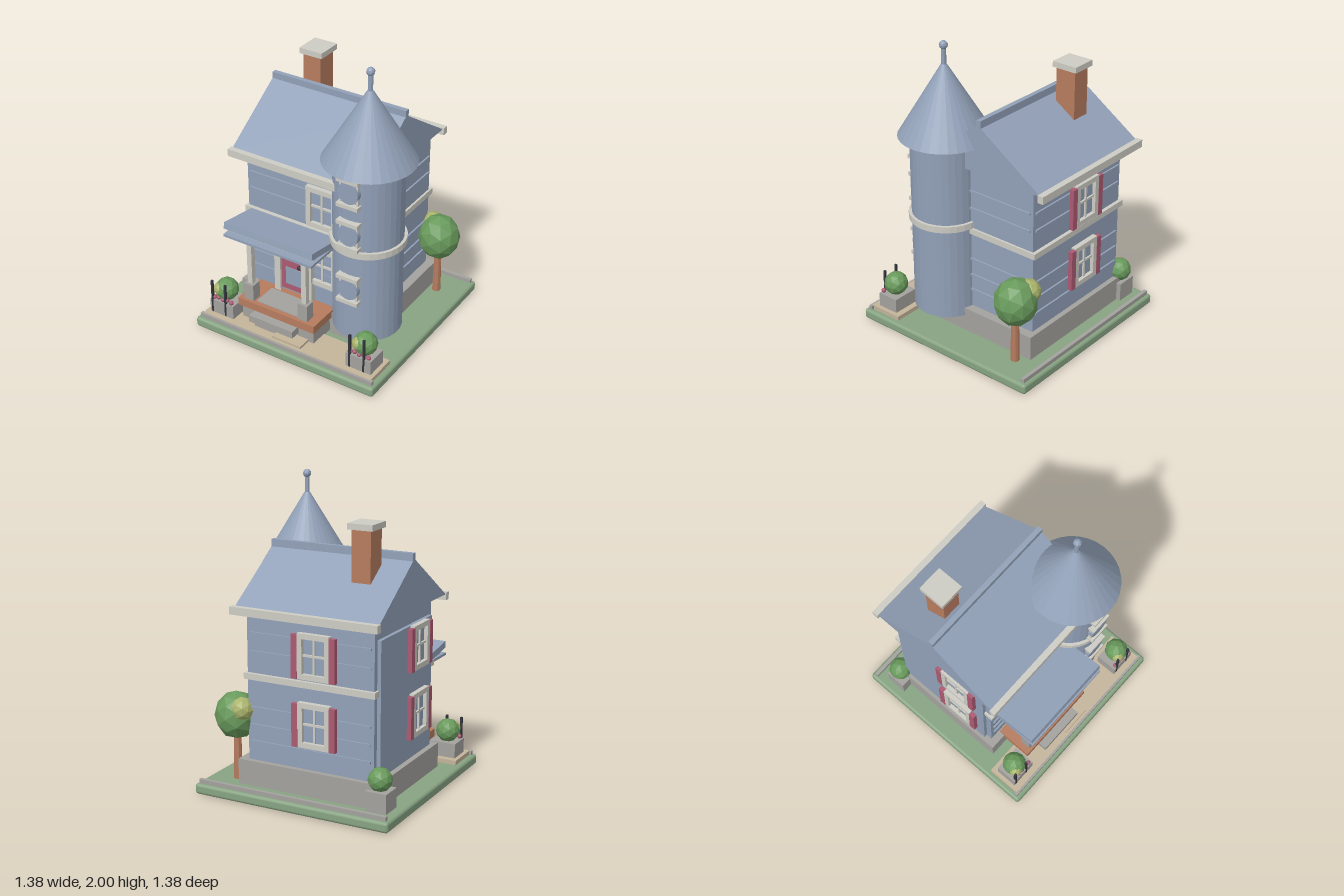
import * as THREE from 'three';
import { RoundedBoxGeometry } from 'three/addons/geometries/RoundedBoxGeometry.js';

const mat = (name, color) => {
  const m = new THREE.MeshStandardMaterial({ color });
  m.name = name;
  return m;
};

// Unshared corners give crisp facets
function faceted(geo) {
  const g = geo.index ? geo.toNonIndexed() : geo;
  g.computeVertexNormals();
  return g;
}

export function createModel() {
  const blue = mat('slate blue', 0x92a1b8), trim = mat('off-white trim', 0xcdccc4);
  const stone = mat('grey stone', 0xa3a29e), grass = mat('lawn green', 0x87a382);
  const leaf = mat('leaf green', 0x699a5c), lime = mat('light leaf', 0xa9b36c);
  const brick = mat('brick brown', 0xb67c5f), sand = mat('sand path', 0xc4b49b);
  const red = mat('rose red', 0xac5a72), iron = mat('dark iron', 0x33363d);

  const root = new THREE.Group();
  root.name = 'turretHouse';
  const add = (name, geo, m, x = 0, y = 0, z = 0, parent = root) => {
    const mesh = new THREE.Mesh(geo, m);
    mesh.name = name;
    mesh.position.set(x, y, z);
    parent.add(mesh);
    return mesh;
  };
  // Box given by its minimum and maximum on each axis
  const box = (name, m, x0, x1, y0, y1, z0, z1, parent = root) =>
    add(name, new THREE.BoxGeometry(x1 - x0, y1 - y0, z1 - z0), m,
      (x0 + x1) / 2, (y0 + y1) / 2, (z0 + z1) / 2, parent);
  const cyl = (name, m, rTop, rBottom, y0, y1, x, z, sides = 32) =>
    add(name, faceted(new THREE.CylinderGeometry(rTop, rBottom, y1 - y0, sides)), m, x, (y0 + y1) / 2, z);
  const blob = (name, m, r, x, y, z, sy = 1) => {
    const g = new THREE.IcosahedronGeometry(r, 1);
    g.scale(1, sy, 1);
    return add(name, faceted(g), m, x, y, z);
  };

  // Ground
  add('lawn', new RoundedBoxGeometry(1.375, 0.07, 1.375, 2, 0.02), grass, 0, 0.035, 0);
  box('path', sand, -0.65, 0.65, 0.065, 0.1, 0.41, 0.645);
  box('pathStone', sand, -0.11, 0.11, 0.1, 0.116, 0.52, 0.625);
  box('frontKerb', stone, -0.665, 0.665, 0.065, 0.098, 0.635, 0.66);
  box('backKerb', stone, -0.665, 0.665, 0.065, 0.098, -0.665, -0.64);

  // House body
  box('foundation', stone, -0.55, 0.445, 0.065, 0.235, -0.54, 0.34);
  box('walls', blue, -0.505, 0.385, 0.23, 1.24, -0.505, 0.29);
  box('sidePanel', blue, -0.53, -0.5, 0.25, 1.12, -0.47, 0.25);
  box('beltTrim', trim, -0.52, 0.4, 0.77, 0.81, -0.53, 0.315);
  for (const y of [0.36, 0.47, 0.585, 0.95, 1.07]) {
    box('frontBoard', blue, -0.485, 0.2, y - 0.007, y + 0.007, 0.28, 0.302);
    box('backBoard', blue, -0.485, 0.365, y - 0.007, y + 0.007, -0.517, -0.5);
    box('rightBoard', blue, 0.38, 0.397, y - 0.007, y + 0.007, -0.485, 0);
  }

  // Gable roof, extruded along x
  const gable = new THREE.Shape([[-0.37, 1.235], [0.59, 1.235], [0.11, 1.555]]
    .map(([x, y]) => new THREE.Vector2(x, y)));
  const roof = add('roof', new THREE.ExtrudeGeometry(gable, { depth: 0.995, bevelEnabled: false }), blue, -0.57);
  roof.rotation.y = Math.PI / 2;
  box('ridgeCap', blue, -0.57, 0.427, 1.54, 1.59, -0.13, -0.097);
  box('frontFascia', trim, -0.58, 0.3, 1.2, 1.25, 0.355, 0.395);
  box('backFascia', trim, -0.58, 0.44, 1.2, 1.25, -0.62, -0.578);
  box('chimney', brick, -0.38, -0.25, 1.3, 1.745, -0.32, -0.175);
  box('chimneyCap', trim, -0.4, -0.23, 1.742, 1.78, -0.34, -0.16);

  // Turret
  const tx = 0.36, tz = 0.215;
  cyl('turret', blue, 0.226, 0.226, 0.18, 1.4, tx, tz);
  cyl('turretBand', trim, 0.246, 0.246, 0.812, 0.855, tx, tz);
  cyl('turretRoof', blue, 0.018, 0.3, 1.385, 1.85, tx, tz);
  cyl('finialRod', blue, 0.016, 0.016, 1.84, 1.96, tx, tz, 8);
  add('finialBall', faceted(new THREE.SphereGeometry(0.028, 8, 6)), blue, tx, 1.972, tz);
  for (const y of [1.265, 0.965, 0.565]) {
    for (const s of [-1, 1]) {
      const ty = y + s * 0.088;
      box('turretWindowTrim', trim, tx - 0.077, tx + 0.077, ty - 0.013, ty + 0.013, 0.42, 0.475);
      const bx = tx + s * 0.06;
      box('turretWindowBar', trim, bx - 0.007, bx + 0.007, y - 0.08, y + 0.08, 0.42, 0.452);
    }
    const pane = add('roundWindow', new THREE.CylinderGeometry(0.073, 0.073, 0.04, 24), blue, tx, y, 0.443);
    pane.rotation.x = Math.PI / 2;
  }

  // Cross-barred window facing +z, turned to suit its wall
  function windowUnit(x, y, z, turn, shutters) {
    const g = new THREE.Group();
    g.name = 'window';
    g.position.set(x, y, z);
    g.rotation.y = turn;
    root.add(g);
    const w = 0.112, h = 0.145, b = 0.034;
    const outer = new THREE.Shape([[-w, -h], [w, -h], [w, h], [-w, h]].map(p => new THREE.Vector2(...p)));
    const a = w - b, c = h - b;
    outer.holes.push(new THREE.Path([[-a, -c], [-a, c], [a, c], [a, -c]].map(p => new THREE.Vector2(...p))));
    add('windowFrame', new THREE.ExtrudeGeometry(outer, { depth: 0.035, bevelEnabled: false }), trim, 0, 0, 0, g);
    box('glass', blue, -a, a, -c, c, 0, 0.01, g);
    box('mullion', trim, -0.007, 0.007, -c, c, 0, 0.022, g);
    box('crossBar', trim, -a, a, -0.002, 0.012, 0, 0.022, g);
    if (shutters) for (const s of [-1, 1])
      add('shutter', new THREE.BoxGeometry(0.042, 0.28, 0.03), red, s * 0.132, -0.005, 0.022, g);
  }
  for (const y of [0.975, 0.535]) {
    windowUnit(0.073, y, 0.288, 0, false);
    windowUnit(-0.107, y, -0.515, Math.PI, true);
    windowUnit(-0.528, y, 0.04, -Math.PI / 2, true);
  }

  // Door
  box('door', red, -0.238, -0.042, 0.275, 0.69, 0.28, 0.32);
  for (const [y0, y1] of [[0.32, 0.45], [0.505, 0.61]])
    box('doorPane', blue, -0.202, -0.08, y0, y1, 0.318, 0.325);
  for (const x of [-0.262, -0.018])
    box('doorPost', trim, x - 0.023, x + 0.023, 0.25, 0.715, 0.28, 0.335);
  add('doorKnob', new THREE.SphereGeometry(0.016, 10, 8), iron, -0.087, 0.485, 0.334);

  // Porch
  box('porchBase', stone, -0.41, 0.15, 0.09, 0.2, 0.3, 0.53);
  box('porchFloor', brick, -0.43, 0.165, 0.195, 0.25, 0.3, 0.55);
  box('doorMat', stone, -0.3, 0.02, 0.248, 0.257, 0.35, 0.52);
  box('porchStep', stone, -0.305, 0.035, 0.14, 0.19, 0.5, 0.605);
  box('stepSupport', stone, -0.28, 0.01, 0.09, 0.14, 0.5, 0.58);
  for (const x of [-0.355, 0.065]) {
    box('columnBase', stone, x - 0.036, x + 0.036, 0.23, 0.37, 0.458, 0.53);
    box('column', trim, x - 0.018, x + 0.018, 0.36, 0.765, 0.476, 0.512);
  }
  box('porchBeam', blue, -0.47, 0.2, 0.755, 0.772, 0.3, 0.62);
  box('porchTrim', trim, -0.45, 0.18, 0.77, 0.808, 0.535, 0.57);
  const porchRoof = add('porchRoof', new THREE.BoxGeometry(0.67, 0.045, 0.315), blue, -0.135, 0.806, 0.455);
  porchRoof.rotation.x = -0.17;

  // Planters with shrubs, flowers and stakes
  for (const s of [-1, 1]) {
    const x = s * 0.53;
    box('planter', stone, x - 0.093, x + 0.093, 0.095, 0.198, 0.452, 0.602);
    blob('shrub', leaf, 0.08, s * 0.538, 0.265, 0.525);
    blob('lightShrub', lime, 0.045, s * 0.538 - 0.03, 0.275, 0.56);
    for (const px of s < 0 ? [-0.605, -0.5] : [0.465, 0.57])
      box('stake', iron, px - 0.007, px + 0.007, 0.1, 0.345, 0.588, 0.603);
    for (let i = 0; i < 5; i++)
      blob('flower', red, 0.016, x - 0.068 + i * 0.034, 0.212 + (i % 2) * 0.008, 0.585);
  }
  box('backPlanter', stone, -0.622, -0.478, 0.07, 0.198, -0.572, -0.428);
  blob('backShrub', leaf, 0.078, -0.55, 0.265, -0.51);

  // Tree
  cyl('treeTrunk', brick, 0.024, 0.03, 0.065, 0.4, 0.5, -0.46, 8);
  blob('treeCrown', leaf, 0.142, 0.5, 0.5, -0.465, 1.12);
  blob('treeCrownLight', lime, 0.08, 0.43, 0.56, -0.51);
  return root;
}
